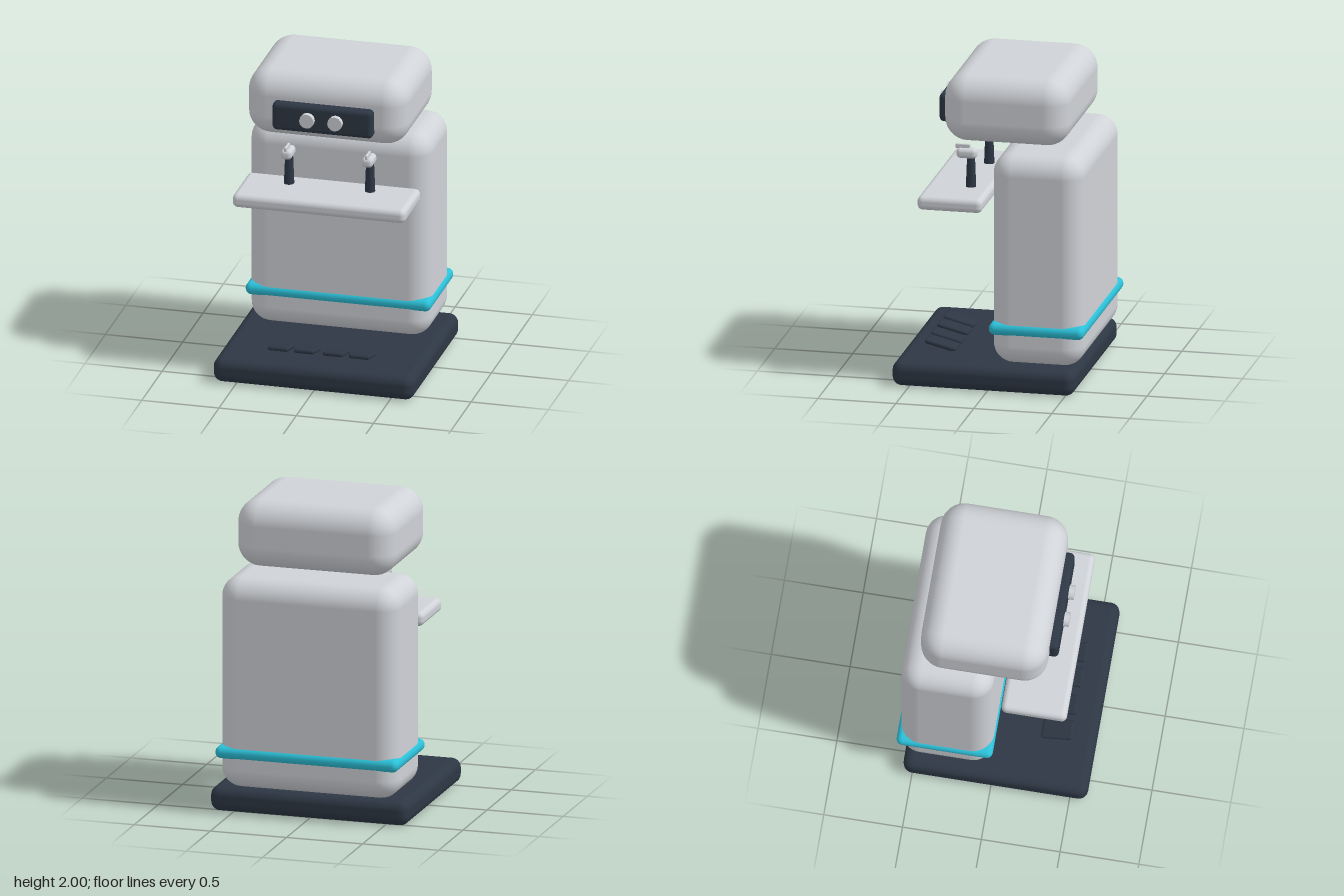
import * as THREE from 'three';
import { RoundedBoxGeometry } from 'three/addons/geometries/RoundedBoxGeometry.js';

export function createModel() {
  const model = new THREE.Group();
  model.name = 'servingRobot';

  const material = (name, color) => {
    const m = new THREE.MeshStandardMaterial({ color });
    m.name = name;
    return m;
  };
  const shell = material('light grey shell', 0xcfd2d7);
  const dark = material('dark slate', 0x2d3744);
  const accent = material('turquoise accent', 0x2bc0d8);

  const add = (name, geometry, mat, x, y, z, parent = model) => {
    const mesh = new THREE.Mesh(geometry, mat);
    mesh.name = name;
    mesh.position.set(x, y, z);
    parent.add(mesh);
    return mesh;
  };
  // Rounded box given by its [min, max] extents on each axis
  const block = (name, [x0, x1], [y0, y1], [z0, z1], radius, mat, parent) =>
    add(name, new RoundedBoxGeometry(x1 - x0, y1 - y0, z1 - z0, 5, radius), mat,
      (x0 + x1) / 2, (y0 + y1) / 2, (z0 + z1) / 2, parent);

  // Main masses
  block('base', [-0.65, 0.65], [0, 0.16], [-0.56, 0.61], 0.06, dark);
  block('body', [-0.585, 0.585], [0.16, 1.525], [-0.595, -0.01], 0.13, shell);
  block('beltRing', [-0.6, 0.6], [0.358, 0.437], [-0.61, 0], 0.038, accent);
  block('head', [-0.52, 0.52], [1.565, 2], [-0.485, 0.32], 0.15, shell);
  block('tray', [-0.56, 0.56], [1.135, 1.225], [0.05, 0.465], 0.035, shell);

  // Face
  block('visor', [-0.325, 0.325], [1.65, 1.835], [0.275, 0.375], 0.03, dark);
  const eyeGeometry = new THREE.CylinderGeometry(0.047, 0.047, 0.06, 12).rotateX(Math.PI / 2);
  for (const side of [-1, 1]) {
    add(side > 0 ? 'leftEye' : 'rightEye', eyeGeometry, shell, side * 0.091, 1.745, 0.38);
  }

  // Taps standing on the tray
  for (const side of [-1, 1]) {
    const tap = new THREE.Group();
    tap.name = side > 0 ? 'leftTap' : 'rightTap';
    tap.position.x = side * 0.262;
    model.add(tap);
    add('tapPost', new THREE.CylinderGeometry(0.025, 0.033, 0.2, 16), dark, 0, 1.325, 0.182, tap);
    block('tapHead', [-0.036, 0.036], [1.41, 1.475], [0.142, 0.272], 0.026, shell, tap);
    block('tapLever', [-0.008, 0.008], [1.47, 1.5], [0.187, 0.28], 0.006, shell, tap);
  }

  // Row of tilted pedals on the base
  for (const x of [-0.263, -0.093, 0.093, 0.263]) {
    const pedal = add('pedal', new RoundedBoxGeometry(0.132, 0.03, 0.205, 3, 0.014), dark, x, 0.188, 0.365);
    pedal.rotation.x = -0.25;
  }

  return model;
}
